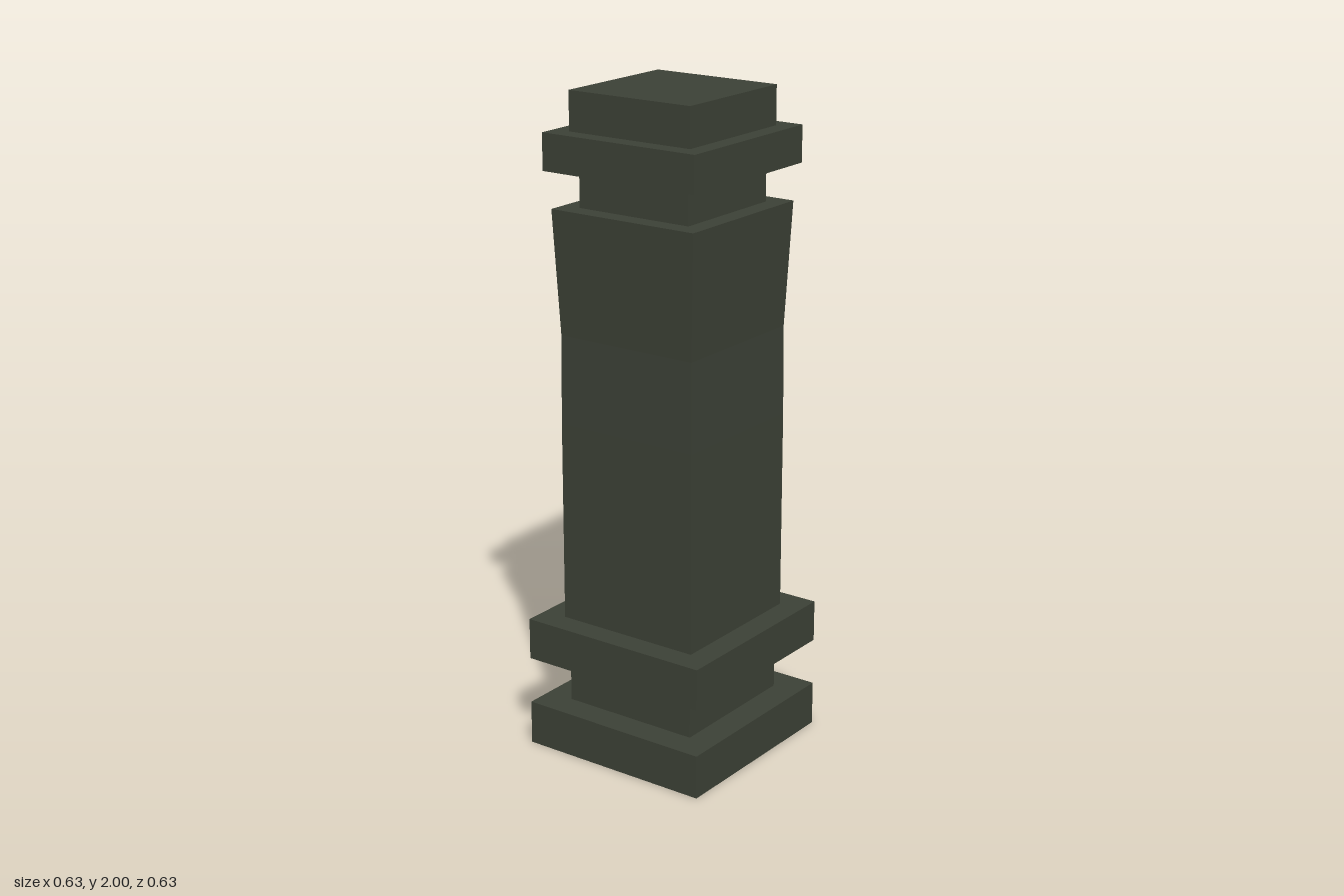
import * as THREE from 'three';

export function createModel() {
  const group = new THREE.Group();
  group.name = 'pillar';
  const stone = new THREE.MeshStandardMaterial({ color: 0x3c4136, flatShading: true, side: THREE.DoubleSide });
  stone.name = 'dark green stone';

  // Square hollow section from a profile of [half width, height] points
  function section(name, profile) {
    const points = profile.map(([half, y]) => new THREE.Vector2(half * Math.SQRT2, y));
    const mesh = new THREE.Mesh(new THREE.LatheGeometry(points, 4, Math.PI / 4), stone);
    mesh.name = name;
    group.add(mesh);
  }

  // Stepped base, open underneath
  section('plinth', [[0.309, 0], [0.309, 0.135], [0.222, 0.135]]);
  section('baseNeck', [[0.222, 0.135], [0.222, 0.28]]);
  section('baseCollar', [[0.222, 0.28], [0.309, 0.28], [0.309, 0.408], [0.233, 0.408]]);

  // Shaft that flares towards its top
  section('shaft', [[0.233, 0.408], [0.233, 1.02], [0.231, 1.29], [0.247, 1.663], [0.19, 1.663]]);

  // Stepped capital with a closed top
  section('capitalNeck', [[0.19, 1.663], [0.19, 1.773]]);
  section('capitalCollar', [[0.19, 1.773], [0.263, 1.773], [0.263, 1.883], [0.209, 1.883]]);
  section('cap', [[0.209, 1.883], [0.209, 2], [0, 2]]);

  // The whole pillar is turned very slightly
  group.rotation.y = -0.012;
  return group;
}
